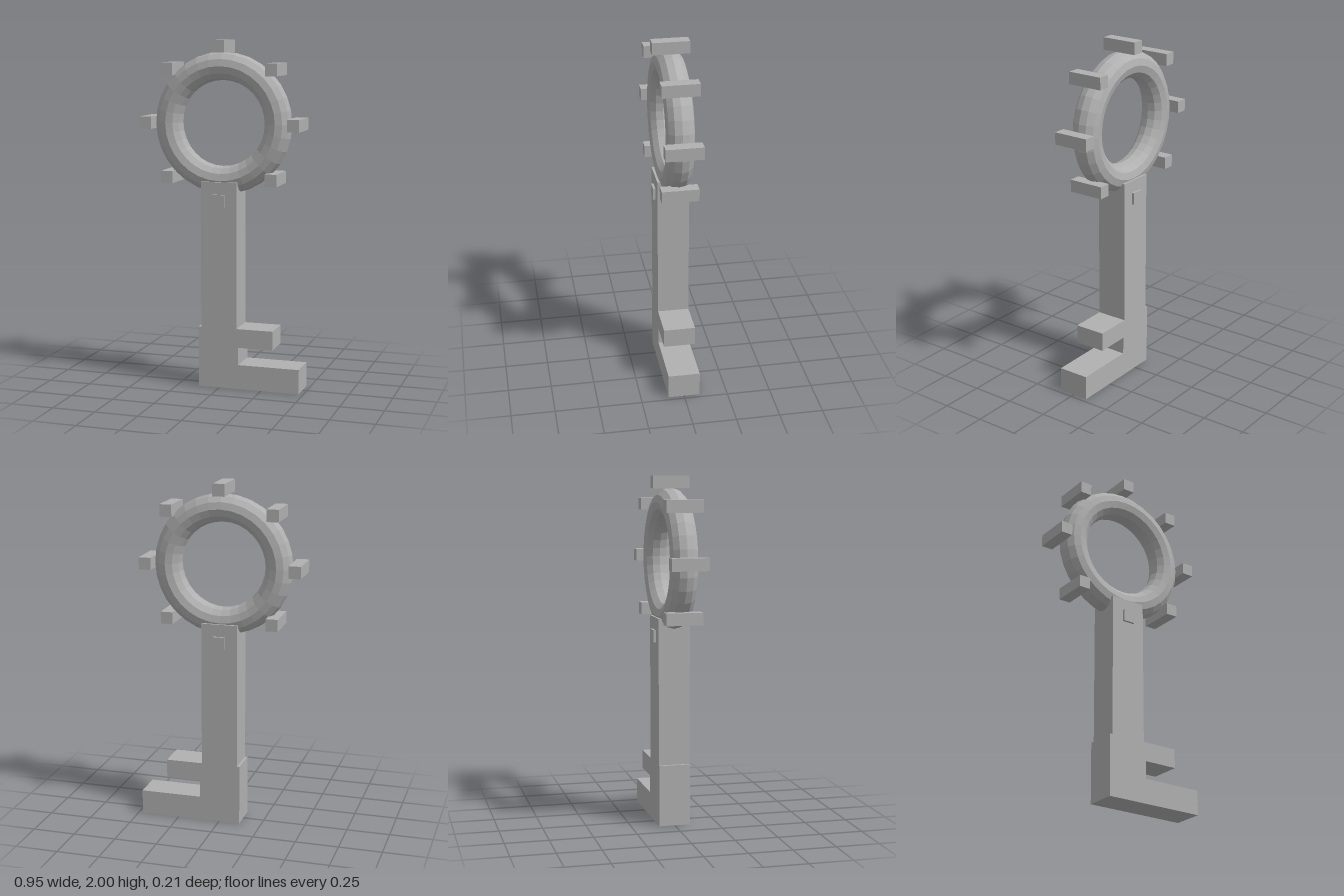
import * as THREE from 'three';

export function createModel() {
  const group = new THREE.Group();
  const grey = new THREE.MeshStandardMaterial({ color: 0xb0b0b0, flatShading: true });
  grey.name = 'plain grey';

  const add = (name, geometry, x, y, z = 0) => {
    const mesh = new THREE.Mesh(geometry, grey);
    mesh.name = name;
    mesh.position.set(x, y, z);
    group.add(mesh);
  };

  const cx = -0.003, ringY = 1.53, depth = 0.182;

  // Ring handle
  add('ringHandle', new THREE.TorusGeometry(0.325, 0.08, 12, 32), cx, ringY);

  // Upright studs spaced around the ring
  for (let i = 0; i < 8; i++) {
    const a = (i * Math.PI) / 4;
    add(`ringStud${i + 1}`, new THREE.BoxGeometry(0.07, 0.07, 0.21),
      cx + 0.436 * Math.cos(a), ringY + 0.436 * Math.sin(a));
  }

  // Shaft
  add('shaft', new THREE.BoxGeometry(0.212, 0.85, depth), cx, 0.775);

  // Bit with two teeth of different lengths
  const outline = [
    [-0.125, 0], [0.475, 0], [0.475, 0.143], [0.115, 0.143],
    [0.115, 0.245], [0.318, 0.245], [0.318, 0.355], [-0.125, 0.355],
  ].map(([x, y]) => new THREE.Vector2(x, y));
  add('bit', new THREE.ExtrudeGeometry(new THREE.Shape(outline), { depth, bevelEnabled: false }),
    0, 0, -depth / 2);

  return group;
}
